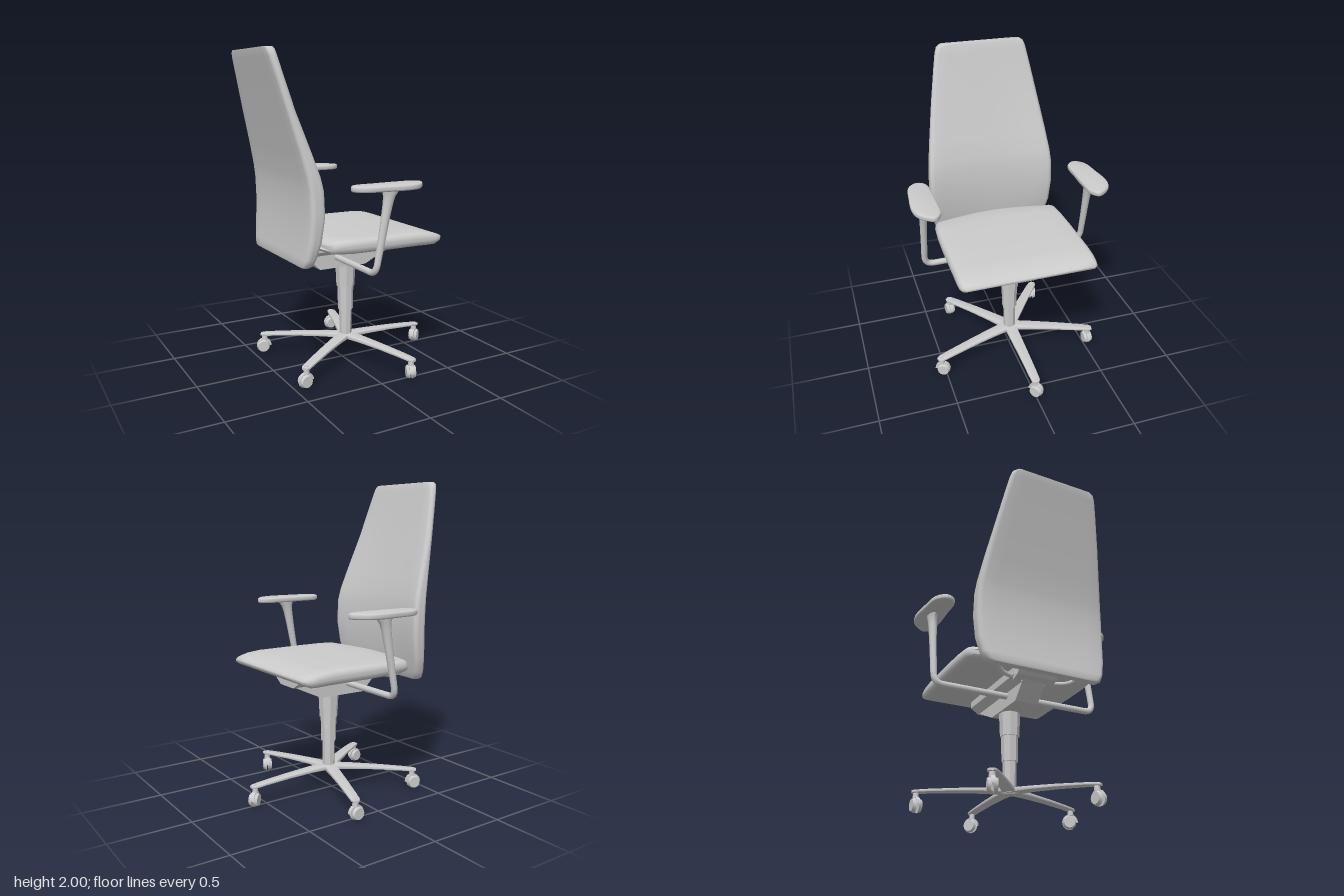
import * as THREE from 'three';
import { toCreasedNormals } from 'three/addons/utils/BufferGeometryUtils.js';

const V = (x, y, z) => new THREE.Vector3(x, y, z);
const material = new THREE.MeshStandardMaterial({ color: 0xcccccc });

function part(parent, name, geometry) {
  const mesh = new THREE.Mesh(geometry, material);
  mesh.name = name;
  parent.add(mesh);
  return mesh;
}

// Rounded rectangle section, counter-clockwise, with subdivided straight sides
function roundRect(hu, hv, r, corner = 4, side = 8) {
  r = Math.min(r, hu, hv);
  const arcs = [[1, 1], [-1, 1], [-1, -1], [1, -1]].map(([su, sv], q) =>
    Array.from({ length: corner + 1 }, (_, i) => {
      const a = (q + i / corner) * Math.PI / 2;
      return [su * (hu - r) + r * Math.cos(a), sv * (hv - r) + r * Math.sin(a)];
    }));
  const out = [];
  arcs.forEach((arc, q) => {
    out.push(...arc);
    const a = arc[corner], b = arcs[(q + 1) % 4][0];
    for (let i = 1; i < side; i++) {
      const t = i / side;
      out.push([a[0] + (b[0] - a[0]) * t, a[1] + (b[1] - a[1]) * t]);
    }
  });
  return out;
}

// Skin over equal-length rings, closed at both ends
function loft(rings, crease = 0.75) {
  const n = rings[0].length, last = (rings.length - 1) * n, pts = rings.flat(), index = [];
  for (let i = 0; i < rings.length - 1; i++) {
    for (let j = 0; j < n; j++) {
      const k = (j + 1) % n, a = i * n + j, b = i * n + k;
      index.push(a, b, b + n, a, b + n, a + n);
    }
  }
  const centre = ring => ring.reduce((s, p) => s.add(p), V(0, 0, 0)).divideScalar(n);
  const c0 = pts.push(centre(rings[0])) - 1;
  const c1 = pts.push(centre(rings[rings.length - 1])) - 1;
  for (let j = 0; j < n; j++) {
    const k = (j + 1) % n;
    index.push(c0, k, j, c1, last + j, last + k);
  }
  const g = new THREE.BufferGeometry().setFromPoints(pts);
  g.setIndex(index);
  return toCreasedNormals(g, crease);
}

// Straight extrusion of a side profile (x, y), centred across z
function plate(points, width) {
  const shape = new THREE.Shape(points.map(p => new THREE.Vector2(...p)));
  return new THREE.ExtrudeGeometry(shape, { depth: width, bevelEnabled: false }).translate(0, 0, -width / 2);
}

function seatGeometry() {
  // x, bottom, top, half width
  const rows = [
    [-0.36, 0.84, 0.87, 0.41], [-0.35, 0.825, 0.888, 0.425], [-0.32, 0.817, 0.898, 0.433],
    [-0.2, 0.811, 0.9, 0.441], [0, 0.81, 0.9, 0.445], [0.3, 0.809, 0.899, 0.445],
    [0.39, 0.807, 0.89, 0.445], [0.43, 0.808, 0.88, 0.442], [0.465, 0.825, 0.868, 0.432],
    [0.485, 0.84, 0.857, 0.41]];
  return loft(rows.map(([x, lo, hi, w]) =>
    roundRect((hi - lo) / 2, w, 0.038).map(([u, z]) => {
      const fade = THREE.MathUtils.clamp((0.1 - x) / 0.46, 0, 1);
      return V(x + 0.07 * fade * Math.abs(z / 0.43) ** 1.6, (lo + hi) / 2 + u, z);
    })), 1.2);
}

function backrestGeometry() {
  // y, back x, front x, half width, hollow of the front face
  const rows = [
    [0.745, -0.452, -0.4, 0.36, 0.01], [0.757, -0.456, -0.39, 0.38, 0.015], [0.8, -0.45, -0.377, 0.402, 0.02],
    [0.9, -0.438, -0.352, 0.422, 0.03], [1.05, -0.428, -0.332, 0.43, 0.04], [1.2, -0.434, -0.338, 0.428, 0.04],
    [1.28, -0.446, -0.355, 0.42, 0.036], [1.42, -0.478, -0.402, 0.4, 0.025], [1.65, -0.537, -0.482, 0.362, 0.01],
    [1.85, -0.588, -0.537, 0.325, 0], [1.95, -0.615, -0.562, 0.305, 0],
    [1.985, -0.624, -0.57, 0.292, 0], [2, -0.626, -0.576, 0.27, 0]];
  return loft(rows.map(([y, back, front, w, hollow]) => {
    const h = (front - back) / 2;
    return roundRect(w, h, 0.03, 4, 10).map(([z, v]) =>
      V((front + back) / 2 + v - (v > 0 ? hollow * (v / h) * (1 - (z / w) ** 2) : 0), y, z));
  }), 1.0);
}

function armrests(group) {
  // Cross tube running under the seat and turning up on both sides
  const path = new THREE.CurvePath();
  const x = -0.08, y = 0.71;
  const bend = s => [V(x, y, s * 0.49), V(x, y, s * 0.55), V(-0.068, 0.78, s * 0.55)];
  const [a, b, c] = bend(-1), [d, e, f] = bend(1);
  path.add(new THREE.QuadraticBezierCurve3(c, b, a));
  path.add(new THREE.LineCurve3(a, d));
  path.add(new THREE.QuadraticBezierCurve3(d, e, f));
  part(group, 'armCrossTube', new THREE.TubeGeometry(path, 80, 0.02, 10, false));

  // y, centre x, x radius, z radius
  const stem = [[0.77, -0.07, 0.02, 0.02], [0.9, -0.045, 0.023, 0.021], [1.03, -0.021, 0.027, 0.023],
    [1.12, -0.004, 0.032, 0.026], [1.165, 0.006, 0.04, 0.027], [1.19, 0.013, 0.055, 0.029], [1.205, 0.015, 0.062, 0.03]];
  const pad = [[-0.235, 0.54], [-0.2, 0.485], [-0.06, 0.474], [0.1, 0.47], [0.2, 0.478], [0.245, 0.52],
    [0.225, 0.565], [0.17, 0.615], [0.09, 0.634], [-0.05, 0.624], [-0.19, 0.6]];
  for (const s of [1, -1]) {
    const side = s > 0 ? 'left' : 'right';
    part(group, side + 'ArmStem', loft(stem.map(([sy, cx, rx, rz]) =>
      Array.from({ length: 12 }, (_, i) => {
        const t = i / 12 * Math.PI * 2;
        return V(cx + rx * Math.sin(t), sy, s * 0.55 + rz * Math.cos(t));
      }))));
    const outline = new THREE.CatmullRomCurve3(pad.map(([px, pz]) => V(px, -s * pz, 0)), true).getPoints(40).slice(0, -1);
    const g = new THREE.ExtrudeGeometry(new THREE.Shape(outline.map(p => new THREE.Vector2(p.x, p.y))), {
      depth: 0.015, bevelThickness: 0.01, bevelSize: 0.012, bevelOffset: -0.012, bevelSegments: 3 });
    part(group, side + 'ArmPad', toCreasedNormals(g.rotateX(-Math.PI / 2).translate(0, 1.21, 0), 0.7));
  }
}

function mechanism(group) {
  // Tilt housing: chamfered upper tray and sloped lower box
  const tray = [[-0.13, 0.812], [-0.13, 0.765], [-0.075, 0.73], [0.075, 0.73], [0.13, 0.765], [0.13, 0.812]];
  part(group, 'mechanismTray', plate(tray, 0.63).rotateY(Math.PI / 2).translate(0.025, 0, 0));
  part(group, 'mechanismBox', plate([[-0.33, 0.765], [-0.29, 0.73], [-0.2, 0.64], [0.13, 0.64],
    [0.31, 0.725], [0.335, 0.765]], 0.15));
  // Flat brackets carrying the backrest
  part(group, 'backBracket', plate([[-0.28, 0.735], [-0.28, 0.755], [-0.33, 0.768], [-0.385, 0.83],
    [-0.4, 0.82], [-0.34, 0.752]], 0.26));
  for (const s of [1, -1]) {
    const curve = new THREE.CatmullRomCurve3([V(-0.24, 0.77, s * 0.1), V(-0.32, 0.765, s * 0.23), V(-0.4, 0.83, s * 0.31)]);
    part(group, 'backArm', new THREE.TubeGeometry(curve, 12, 0.014, 8));
  }
}

function caster(yaw) {
  const c = new THREE.Group();
  c.name = 'caster';
  part(c, 'casterPin', new THREE.CylinderGeometry(0.015, 0.02, 0.05, 8).translate(0, 0.112, 0));
  for (const s of [1, -1]) {
    part(c, 'wheel', toCreasedNormals(new THREE.CylinderGeometry(0.036, 0.045, 0.022, 12)
      .rotateX(s * Math.PI / 2).translate(0.01, 0.045, s * 0.018), 0.5));
  }
  // Curved fender between the wheels
  const hood = new THREE.CylinderGeometry(0.05, 0.05, 0.024, 10, 1, false, 0, Math.PI);
  part(c, 'fender', hood.rotateX(Math.PI / 2).rotateZ(Math.PI / 2).translate(0.005, 0.046, 0)).material =
    new THREE.MeshStandardMaterial({ color: 0xcccccc, side: THREE.DoubleSide });
  c.rotation.y = yaw;
  return c;
}

function base(group) {
  // Faceted telescopic column with slight steps
  const profile = [[0, 0.13], [0.04, 0.13], [0.042, 0.33], [0.05, 0.33], [0.053, 0.49], [0.06, 0.49],
    [0.067, 0.645], [0, 0.645]].map(p => new THREE.Vector2(...p));
  part(group, 'column', toCreasedNormals(new THREE.LatheGeometry(profile, 8, Math.PI / 8), 0.3));
  part(group, 'hub', new THREE.CylinderGeometry(0.055, 0.055, 0.03, 10).translate(0, 0.148, 0));

  // Five tapering legs: distance, bottom, top, half width
  const leg = [[0, 0.135, 0.165, 0.042], [0.15, 0.138, 0.161, 0.038], [0.32, 0.134, 0.153, 0.034],
    [0.48, 0.125, 0.142, 0.031], [0.56, 0.118, 0.135, 0.028], [0.58, 0.118, 0.133, 0.016]];
  const yaws = [0.7, 1.9, 0.3, -0.5, 2.4];
  for (let i = 0; i < 5; i++) {
    const spoke = new THREE.Group();
    spoke.name = 'baseLeg';
    spoke.rotation.y = i * Math.PI * 2 / 5;
    part(spoke, 'legBar', loft(leg.map(([d, lo, hi, w]) =>
      roundRect((hi - lo) / 2, w, 0.006, 2, 1).map(([u, z]) => V(d, (lo + hi) / 2 + u, z))), 0.6));
    const wheelSet = caster(yaws[i]);
    wheelSet.position.x = 0.553;
    spoke.add(wheelSet);
    group.add(spoke);
  }
}

export function createModel() {
  const chair = new THREE.Group();
  chair.name = 'officeChair';
  part(chair, 'seat', seatGeometry());
  part(chair, 'backrest', backrestGeometry());
  armrests(chair);
  mechanism(chair);
  const foot = new THREE.Group();
  foot.name = 'base';
  foot.position.x = 0.025;
  base(foot);
  chair.add(foot);
  return chair;
}
